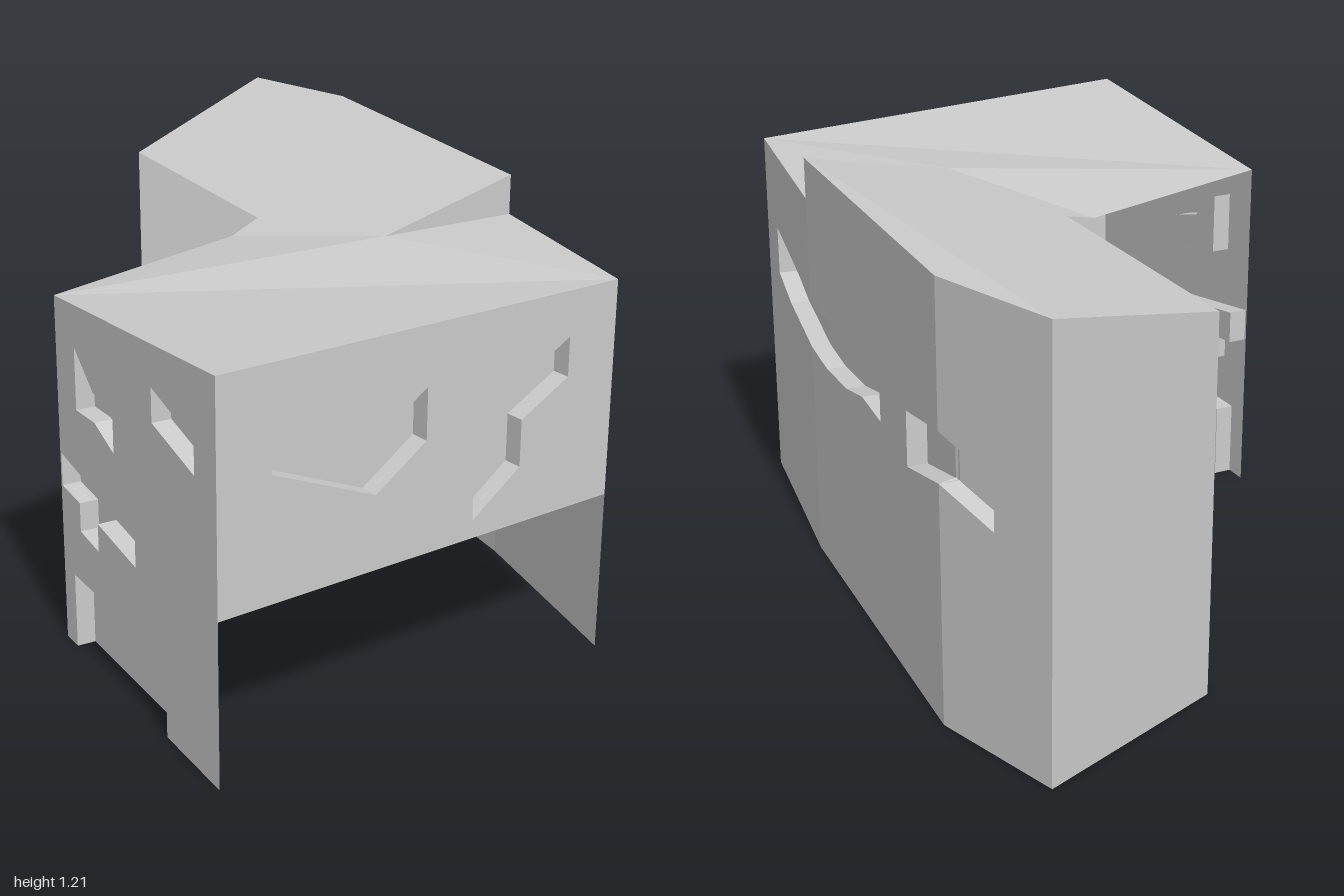
import * as THREE from 'three';
import { mergeGeometries } from 'three/addons/utils/BufferGeometryUtils.js';

const DEPTH = 0.055; // how far the niches are sunk into the thin walls

// Plan corners [x, z]
const A = [-0.99, -1.0], B = [-0.59, -0.985], C = [0.405, -0.565], D = [0.98, -0.26];
const E = [0.705, 0.997], F = [-0.175, 0.7], G = [-0.175, -0.11], H = [-0.97, -0.4];
const P = [0.305, -0.115], Q = [-0.175, 0];

export function createModel() {
  const model = new THREE.Group();
  const material = new THREE.MeshStandardMaterial({
    color: 0xcccccc, flatShading: true, side: THREE.DoubleSide,
  });

  function add(name, geometry) {
    geometry.computeVertexNormals();
    const mesh = new THREE.Mesh(geometry, material);
    mesh.name = name;
    model.add(mesh);
  }

  // Triangulated flat outline, positions only
  function flat(points) {
    const shape = new THREE.Shape(points.map(([u, y]) => new THREE.Vector2(u, y)));
    return shape;
  }
  function sheet(shape) {
    const g = new THREE.ShapeGeometry(shape).toNonIndexed();
    g.deleteAttribute('uv');
    g.deleteAttribute('normal');
    return g;
  }

  // Side faces of a niche, along its outline (an open one ends at a wall edge)
  function reveal(points, closed) {
    const v = [];
    const count = closed ? points.length : points.length - 1;
    for (let i = 0; i < count; i++) {
      const [u0, y0] = points[i], [u1, y1] = points[(i + 1) % points.length];
      v.push(u0, y0, 0, u1, y1, 0, u1, y1, DEPTH, u0, y0, 0, u1, y1, DEPTH, u0, y0, DEPTH);
    }
    const g = new THREE.BufferGeometry();
    g.setAttribute('position', new THREE.Float32BufferAttribute(v, 3));
    return g;
  }

  // Wall from plan corner a to b; outlines are [x or z, height] by axis.
  // Niches in "holes" lie inside the wall, those in "notches" reach its edge.
  function wall(name, a, b, axis, outline, holes = [], notches = []) {
    const shape = flat(outline);
    shape.holes = holes.map((h) => new THREE.Path(h.map(([u, y]) => new THREE.Vector2(u, y))));
    const parts = [sheet(shape)];
    for (const niche of [...holes, ...notches]) {
      const back = sheet(flat(niche));
      back.translate(0, 0, DEPTH);
      parts.push(back, reveal(niche, holes.includes(niche)));
    }
    const g = mergeGeometries(parts);
    const dx = b[0] - a[0], dz = b[1] - a[1], length = Math.hypot(dx, dz);
    const pos = g.attributes.position;
    for (let i = 0; i < pos.count; i++) {
      const t = (pos.getX(i) - a[axis]) / (b[axis] - a[axis]);
      const d = pos.getZ(i) / length;
      pos.setXYZ(i, a[0] + dx * t - dz * d, pos.getY(i), a[1] + dz * t + dx * d);
    }
    add(name, g);
  }

  // Roof sheet from plan corners with heights, triangulated in plan
  function roof(name, corners) {
    const g = sheet(flat(corners.map(([p]) => [p[0], -p[1]])));
    const pos = g.attributes.position;
    for (let i = 0; i < pos.count; i++) {
      const x = pos.getX(i), z = -pos.getY(i);
      const hit = corners.find(([p]) => Math.hypot(p[0] - x, p[1] - z) < 1e-4);
      pos.setXYZ(i, x, hit[1], z);
    }
    add(name, g);
  }

  // Left end wall
  wall('leftEndWall', H, A, 1, [[H[1], 0], [A[1], 0], [A[1], 1.21], [H[1], 1.065]]);

  // Back walls, with two niches that fold round the corners
  const smallEnd = [[B[0], 0.675], [-0.79, 0.615], [-0.79, 0.75], [B[0], 0.815]];
  const smallStart = [[B[0], 0.815], [-0.37, 0.775], [-0.37, 0.62], [B[0], 0.675]];
  const longEnd = [
    [C[0], 0.645], [0.27, 0.63], [0.1, 0.64], [-0.03, 0.67], [-0.174, 0.66],
    [-0.174, 0.81], [-0.03, 0.825], [0.09, 0.785], [0.2, 0.78], [C[0], 0.787],
  ];
  const longStart = [
    [C[0], 0.787], [0.6, 0.82], [0.837, 0.855], [0.837, 0.71], [0.68, 0.672], [C[0], 0.645],
  ];
  wall('backEndWall', A, B, 0,
    [[A[0], 0], [B[0], 0], ...smallEnd, [B[0], 1.21], [A[0], 1.21]], [], [smallEnd]);
  wall('backMiddleWall', B, C, 0,
    [[B[0], 0], [C[0], 0], ...longEnd, [C[0], 1.21], [B[0], 1.21], ...smallStart],
    [], [longEnd, smallStart]);
  wall('backSideWall', C, D, 0,
    [[C[0], 0], [D[0], 0], [D[0], 1.095], [C[0], 1.092], ...longStart], [], [longStart]);

  // Raised side wall, open below
  wall('raisedSideWall', D, E, 1,
    [[D[1], 0.472], [E[1], 0.472], [E[1], 1.11], [D[1], 1.095]],
    [
      [[0.84, 0.98], [0.527, 0.834], [0.37, 0.936], [0.37, 0.79], [0.527, 0.682], [0.84, 0.82]],
      [[0.21, 0.797], [-0.1, 0.968], [-0.1, 0.855], [0.055, 0.77], [0.055, 0.636], [0.21, 0.522]],
    ]);

  // Front wall with three niches and a low doorway niche
  const doorway = [[-0.11, 0], [-0.11, 0.225], [0.428, 0.225], [0.428, 0]];
  wall('frontWall', E, F, 0,
    [[F[0], 0], ...doorway, [E[0], 0], [E[0], 1.11], [F[0], 1.03]],
    [
      [[-0.06, 0.92], [0.045, 0.83], [0.16, 0.795], [0.16, 0.7], [0.05, 0.745], [-0.06, 0.74]],
      [[0.38, 0.965], [0.597, 0.905], [0.597, 0.815], [0.38, 0.87]],
      [[-0.168, 0.573], [0.27, 0.5], [0.27, 0.42], [0.05, 0.45], [0.05, 0.367],
        [-0.06, 0.38], [-0.06, 0.465], [-0.168, 0.475]],
    ], [doorway]);

  // Two roofs and the wedge-shaped step between them
  roof('highRoof', [[A, 1.21], [H, 1.065], [G, 1.065], [Q, 1.035], [P, 1.107], [C, 1.21], [B, 1.21]]);
  roof('lowRoof', [[Q, 1.035], [F, 1.03], [E, 1.11], [D, 1.095], [C, 1.092], [P, 1.107]]);
  wall('roofStep', C, P, 1, [[C[1], 1.092], [P[1], 1.107], [C[1], 1.21]]);

  return model;
}
